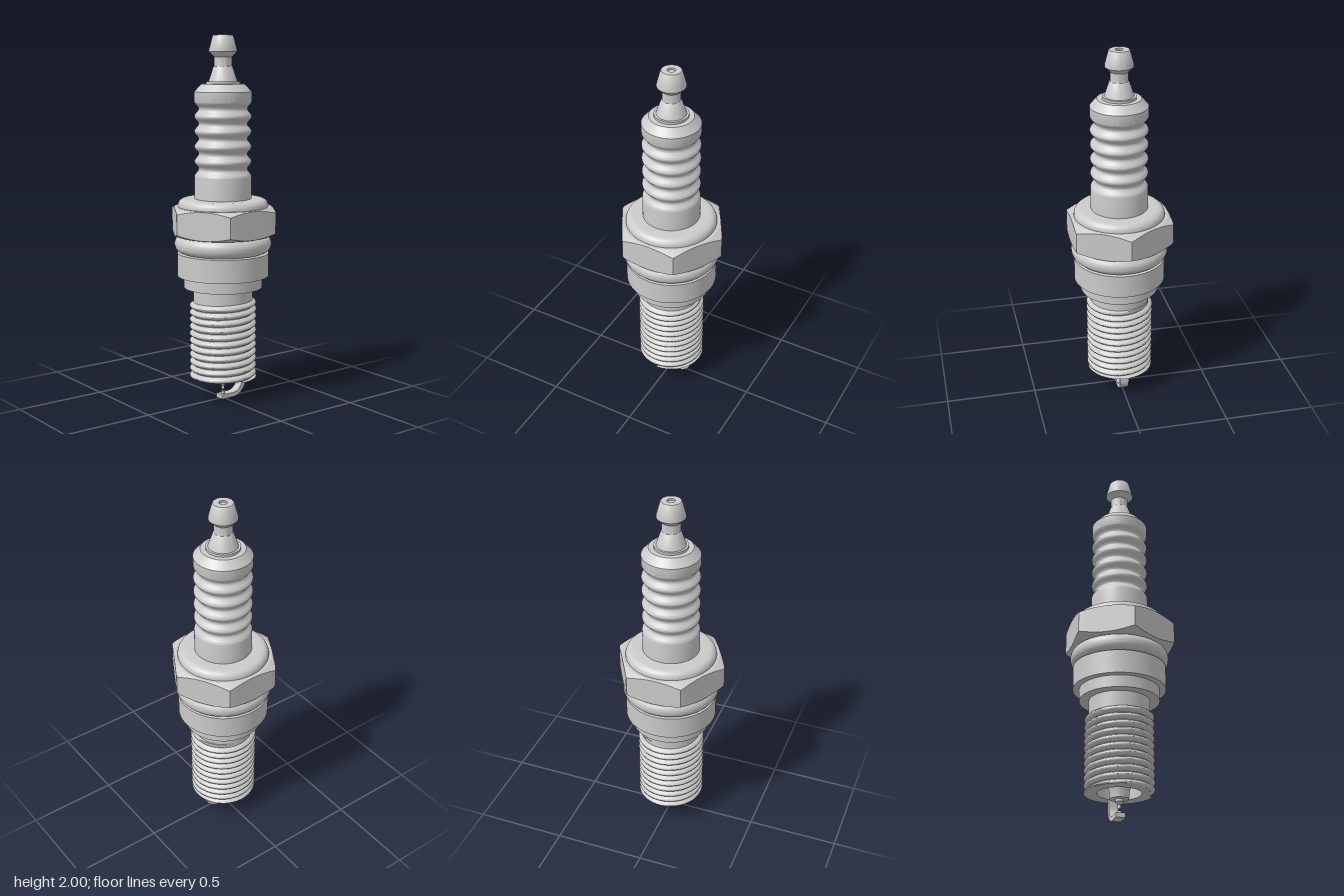
import * as THREE from 'three';
import { toCreasedNormals } from 'three/addons/utils/BufferGeometryUtils.js';
import { ParametricGeometry } from 'three/addons/geometries/ParametricGeometry.js';

const material = new THREE.MeshStandardMaterial({ color: 0xcccccc });

function addMesh(group, name, geometry, crease = 0.5) {
  const mesh = new THREE.Mesh(toCreasedNormals(geometry, crease), material);
  mesh.name = name;
  group.add(mesh);
  return mesh;
}

// Turned part from [radius, height] pairs, listed so the outside runs upward
function lathe(points, segments = 72) {
  return new THREE.LatheGeometry(points.map(([r, y]) => new THREE.Vector2(r, y)), segments);
}

// Points on an elliptical arc of a profile, angles in degrees
function arc(cx, cy, rx, ry, from, to, steps) {
  return Array.from({ length: steps + 1 }, (_, i) => {
    const a = THREE.MathUtils.degToRad(from + (to - from) * i / steps);
    return [cx + rx * Math.cos(a), cy + ry * Math.sin(a)];
  });
}

// Hexagon with conically chamfered corners, flats facing +z and -z
function hexNut(bottom, top, apothem) {
  const inner = apothem - 0.004;
  const geometry = lathe([[0.15, bottom], [inner, bottom], [1, bottom], [1, top], [inner, top], [0.15, top]], 96);
  const pos = geometry.attributes.position;
  const middle = (bottom + top) / 2;
  for (let i = 0; i < pos.count; i++) {
    const x = pos.getX(i), y = pos.getY(i), z = pos.getZ(i);
    if (Math.hypot(x, z) < 0.9) continue;
    const angle = Math.atan2(x, z), sector = Math.PI / 3;
    const offset = angle - Math.round(angle / sector) * sector;
    const r = Math.min(apothem / Math.cos(offset), 0.306);
    const drop = (r - inner) * 0.52;
    pos.setXYZ(i, r * Math.sin(angle), y > middle ? y - drop : y + drop, r * Math.cos(angle));
  }
  return geometry;
}

// Helical ridge, cut flat at the bottom and running out at the top
function thread(bottom, top, root, height, turns) {
  const pitch = (top - bottom) / turns;
  const total = turns + 0.5;
  return new ParametricGeometry((u, v, target) => {
    const turn = u * total, angle = turn * Math.PI * 2;
    const fade = Math.min(1, (total - turn) / 0.4);
    const r = root + height * fade * Math.pow(Math.sin(Math.PI * v), 0.85);
    const y = Math.max(bottom, bottom + pitch * (turn - 1 + v));
    target.set(r * Math.sin(angle), Math.min(y, top), r * Math.cos(angle));
  }, Math.round(total * 56), 6);
}

export function createModel() {
  const model = new THREE.Group();
  model.name = 'sparkPlug';

  // Terminal nut with a small dimple on top
  addMesh(model, 'terminal', lathe([
    [0.09, 1.735], [0.09, 1.755], [0.078, 1.755], [0.053, 1.83], [0.048, 1.835],
    [0.048, 1.885], [0.076, 1.912], [0.076, 1.92], [0.056, 1.995], [0.052, 2],
    [0.021, 2], [0.021, 1.99], [0, 1.99],
  ]));

  // Ceramic insulator with four ribs
  const ribs = Array.from({ length: 81 }, (_, i) => {
    const t = i / 80;
    return [0.1435 + 0.0115 * Math.cos(t * 5 * Math.PI * 2), 1.245 + t * 0.405];
  });
  addMesh(model, 'insulator', lathe([[0.155, 1.1], ...ribs, [0.155, 1.7], [0.117, 1.742], [0.05, 1.742]]));

  // Rolled collar above the hexagon
  addMesh(model, 'collar', lathe([
    [0.247, 1.06], ...arc(0.207, 1.087, 0.04, 0.038, 0, 90, 10), [0.15, 1.125],
  ]));

  addMesh(model, 'hexagon', hexNut(0.925, 1.082, 0.267), 0.35);

  // Swollen ring below the hexagon
  addMesh(model, 'bulgeRing', lathe([
    [0.15, 0.83], ...arc(0.222, 0.878, 0.043, 0.048, -75, 75, 16), [0.15, 0.926],
  ]));

  // Stepped metal shell with a hollow lower end
  addMesh(model, 'shell', lathe([
    [0.1, 0.3], [0.115, 0.3], [0.115, 0.13], [0.163, 0.13], [0.163, 0.635],
    [0.215, 0.635], [0.215, 0.7], [0.25, 0.7], [0.25, 0.827], [0.15, 0.835],
  ]));

  addMesh(model, 'thread', thread(0.13, 0.565, 0.161, 0.024, 11), 0.8);

  // Insulator nose inside the hollow end
  addMesh(model, 'insulatorNose', lathe([
    [0, 0.1], [0.05, 0.1], [0.052, 0.14], [0.115, 0.305],
  ], 48));

  // Centre electrode with its fine tip
  addMesh(model, 'centreElectrode', lathe([
    [0, 0.05], [0.009, 0.05], [0.009, 0.072], [0.022, 0.085], [0.022, 0.105],
  ], 32));

  // Ground strap bent under the centre electrode
  const strap = new THREE.Shape();
  strap.moveTo(-0.025, 0);
  strap.lineTo(0.05, 0);
  strap.absarc(0.05, 0.09, 0.09, -Math.PI / 2, 0, false);
  strap.lineTo(0.14, 0.135);
  strap.lineTo(0.115, 0.135);
  strap.lineTo(0.115, 0.09);
  strap.absarc(0.05, 0.09, 0.065, 0, -Math.PI / 2, true);
  strap.lineTo(-0.025, 0.025);
  const strapGeometry = new THREE.ExtrudeGeometry(strap, { depth: 0.05, bevelEnabled: false, curveSegments: 16 });
  addMesh(model, 'groundStrap', strapGeometry.translate(0, 0, -0.025));

  // Small pad on the strap facing the tip
  addMesh(model, 'strapPad', new THREE.CylinderGeometry(0.012, 0.012, 0.016, 24).translate(0, 0.031, 0));

  return model;
}
